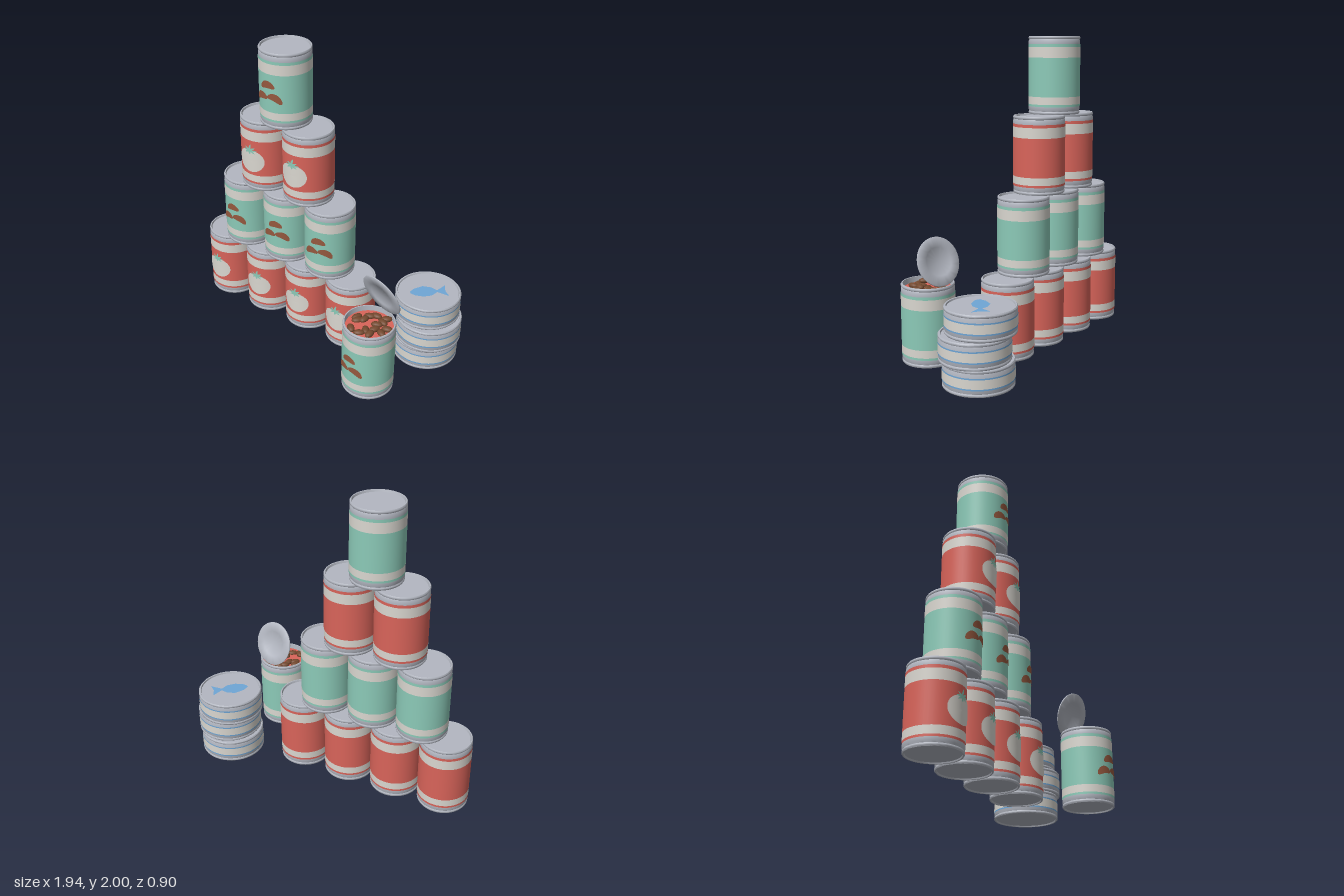
import * as THREE from 'three';
import { toCreasedNormals } from 'three/addons/utils/BufferGeometryUtils.js';

const mat = (name, color) => {
  const m = new THREE.MeshStandardMaterial({ color });
  m.name = name;
  return m;
};
const metal = mat('tin metal', 0xb3b7c1);
const cream = mat('label cream', 0xdad7d0);
const red = mat('tomato red', 0xd9645a);
const green = mat('mint green', 0x8ccab8);
const blue = mat('fish blue', 0x6fa6d6);
const brown = mat('printed bean brown', 0x96593f);
const darkBrown = mat('bean brown', 0x74492f);
const SEG = 48;

function add(parent, name, geometry, material) {
  const mesh = new THREE.Mesh(geometry, material);
  mesh.name = name;
  parent.add(mesh);
  return mesh;
}

function lathe(points) {
  const g = new THREE.LatheGeometry(points.map(p => new THREE.Vector2(...p)), SEG);
  return toCreasedNormals(g, 0.7);
}

// Coloured ring of the paper label between two heights
function band(parent, name, r, y0, y1, material) {
  const g = new THREE.CylinderGeometry(r, r, y1 - y0, SEG, 1, true);
  add(parent, name, g.translate(0, (y0 + y1) / 2, 0), material);
}

// Thin printed plate wrapped round the can; outline(a) gives its edge
function wrapped(parent, name, r, cx, cy, tilt, outline, material) {
  const g = new THREE.RingGeometry(0.0001, 1, 48, 6);
  const p = g.attributes.position;
  const c = Math.cos(tilt), s = Math.sin(tilt);
  for (let i = 0; i < p.count; i++) {
    const t = Math.hypot(p.getX(i), p.getY(i));
    const [ox, oy] = outline(Math.atan2(p.getY(i), p.getX(i)));
    const x = cx + t * (ox * c - oy * s), y = cy + t * (ox * s + oy * c);
    p.setXYZ(i, r * Math.sin(x / r), y, r * Math.cos(x / r));
  }
  g.computeVertexNormals();
  add(parent, name, g, material);
}

const beanEdge = a => [0.054 * Math.cos(a),
  0.027 * Math.sin(a) + 0.008 - 0.014 * Math.cos(a) ** 2 + (Math.sin(a) < 0 ? 0.006 * Math.sin(a) ** 4 : 0)];
const tomatoEdge = a => [0.103 * Math.cos(a),
  0.083 * Math.sin(a) - 0.012 * Math.max(0, Math.sin(a)) ** 12];
const leafEdge = a => {
  const f = (a + Math.PI) / (2 * Math.PI) * 8 % 1;
  const k = 0.4 + 0.6 * Math.abs(2 * f - 1);
  return [0.054 * k * Math.cos(a), 0.03 * k * Math.sin(a)];
};
const stemEdge = a => [0.007 * Math.cos(a) + 0.006 * Math.sin(a), 0.024 * Math.sin(a)];

function tomatoPrint(can) {
  wrapped(can, 'tomatoPrint', 0.174, 0, 0.22, 0, tomatoEdge, cream);
  wrapped(can, 'tomatoLeaves', 0.1755, 0, 0.295, 0, leafEdge, green);
  wrapped(can, 'tomatoStem', 0.1755, 0.002, 0.314, 0, stemEdge, green);
}

function beanPrint(can) {
  for (const [x, y, tilt] of [[0, 0.285, 0.08], [-0.053, 0.203, 0.25], [0.053, 0.206, -0.35]])
    wrapped(can, 'beanPrint', 0.174, x, y, tilt, beanEdge, brown);
}

// Tall can: metal shell with rolled rims, banded label and a print
function tallCan(root, name, x, y, z, turn, colour, print, open = false) {
  const can = new THREE.Group();
  can.name = name;
  can.position.set(x, y, z);
  can.rotation.y = turn;
  root.add(can);
  const top = open ? [[0.152, 0.455]] : [[0.152, 0.487], [0, 0.487]];
  add(can, 'canShell', lathe([
    [0, 0.008], [0.152, 0.008], [0.155, 0], [0.163, 0], [0.167, 0.006], [0.167, 0.014],
    [0.163, 0.02], [0.167, 0.03], [0.167, 0.05], [0.167, 0.45], [0.167, 0.47], [0.163, 0.48],
    [0.167, 0.485], [0.167, 0.494], [0.163, 0.5], [0.156, 0.5], ...top]), metal);
  const edges = [0.05, 0.064, 0.113, 0.363, 0.43, 0.449];
  for (let i = 0; i < 5; i++)
    band(can, 'labelBand', 0.169, edges[i], edges[i + 1], i % 2 ? cream : colour);
  print(can);
  return can;
}

// Wide, low can with a striped label
function fishCan(root, x, y, z) {
  const can = new THREE.Group();
  can.name = 'flatCan';
  can.position.set(x, y, z);
  root.add(can);
  add(can, 'flatCanShell', lathe([
    [0, 0.008], [0.198, 0.008], [0.201, 0], [0.21, 0], [0.215, 0.006], [0.215, 0.014],
    [0.211, 0.02], [0.214, 0.027], [0.214, 0.133], [0.211, 0.14], [0.215, 0.146],
    [0.215, 0.154], [0.21, 0.16], [0.201, 0.16], [0.198, 0.15], [0, 0.15]]), metal);
  const edges = [0.042, 0.051, 0.106, 0.115];
  for (let i = 0; i < 3; i++)
    band(can, 'stripe', 0.2155, edges[i], edges[i + 1], i === 1 ? cream : blue);

  // Fish painted on the lid, drawn looking down with z pointing down the sheet
  const body = [[-0.094, 0.078], [-0.089, 0.031], [-0.057, -0.026], [-0.005, -0.047], [0.042, -0.042]];
  const tail = [[0.057, -0.12], [0.089, -0.068], [0.135, -0.036], [0.052, -0.026]];
  const belly = [[0.042, 0.026], [0.005, 0.068], [-0.047, 0.089], [-0.078, 0.089]];
  const pts = [...body, ...tail, ...belly].map(([px, pz]) => new THREE.Vector2(px, -pz));
  const fish = new THREE.ShapeGeometry(new THREE.Shape(pts)).rotateX(-Math.PI / 2);
  add(can, 'fishPrint', fish.translate(0, 0.153, 0), blue);
}

export function createModel() {
  const root = new THREE.Group();
  root.name = 'cannedFood';

  // Pyramid, four cans at the base, colours alternating by row
  const turns = [[-0.08, 0.05, 0.01, -0.03], [-0.06, 0.09, 0.13], [0, -0.02], [-0.06]];
  turns.forEach((row, r) => row.forEach((turn, i) => {
    const tomato = r % 2 === 0;
    tallCan(root, tomato ? 'tomatoCan' : 'beanCan', -0.805 + r * 0.172 + i * 0.345, r * 0.5, -0.06,
      turn, tomato ? red : green, tomato ? tomatoPrint : beanPrint);
  }));

  // Stack of flat cans, slightly out of line
  fishCan(root, 0.735, 0, -0.222);
  fishCan(root, 0.755, 0.16, -0.212);
  fishCan(root, 0.725, 0.32, -0.233);

  // Opened can with sauce and beans
  const opened = new THREE.Group();
  opened.name = 'openedCan';
  opened.position.set(0.6, 0, 0.28);
  root.add(opened);
  tallCan(opened, 'openCan', 0, 0, 0, -0.23, green, beanPrint, true);
  const sauce = new THREE.CircleGeometry(0.154, SEG).rotateX(-Math.PI / 2);
  add(opened, 'sauce', sauce.translate(0, 0.465, 0), red);
  const beans = [[-0.11, -0.025, 1.2], [-0.057, -0.03, 1.4], [-0.075, 0.095, -0.7], [0.005, 0.05, -0.9],
    [0.035, -0.03, 0.4], [0.115, -0.025, 0.3], [0.1, 0.02, -0.5], [-0.045, -0.075, 0.5],
    [0.05, 0.075, 1.5], [-0.015, 0.095, 0.6], [0.055, -0.07, -0.4], [0.05, 0.02, 1.1],
    [-0.09, 0.0, 0.8], [-0.01, -0.1, 0.1], [0.06, -0.105, 0.7]];
  beans.forEach(([x, z, turn], i) => {
    const bean = add(opened, 'bean', new THREE.SphereGeometry(1, 14, 10), darkBrown);
    bean.scale.set(0.037, 0.018, 0.023);
    bean.position.set(x, 0.468 + (i % 3) * 0.004, z);
    bean.rotation.y = turn;
  });

  // Lid bent up from the back rim, with a sunken middle panel
  const lid = add(root, 'openLid', lathe([
    [0, -0.003], [0.088, -0.003], [0.094, -0.007], [0.146, -0.007], [0.153, -0.003],
    [0.153, 0.003], [0.146, 0.007], [0.094, 0.007], [0.088, 0.003], [0, 0.003]
  ]).rotateX(Math.PI / 2), metal);
  lid.position.set(0.617, 0.648, 0.177);
  lid.rotation.set(0.33, -0.22, 0, 'YXZ');
  return root;
}
